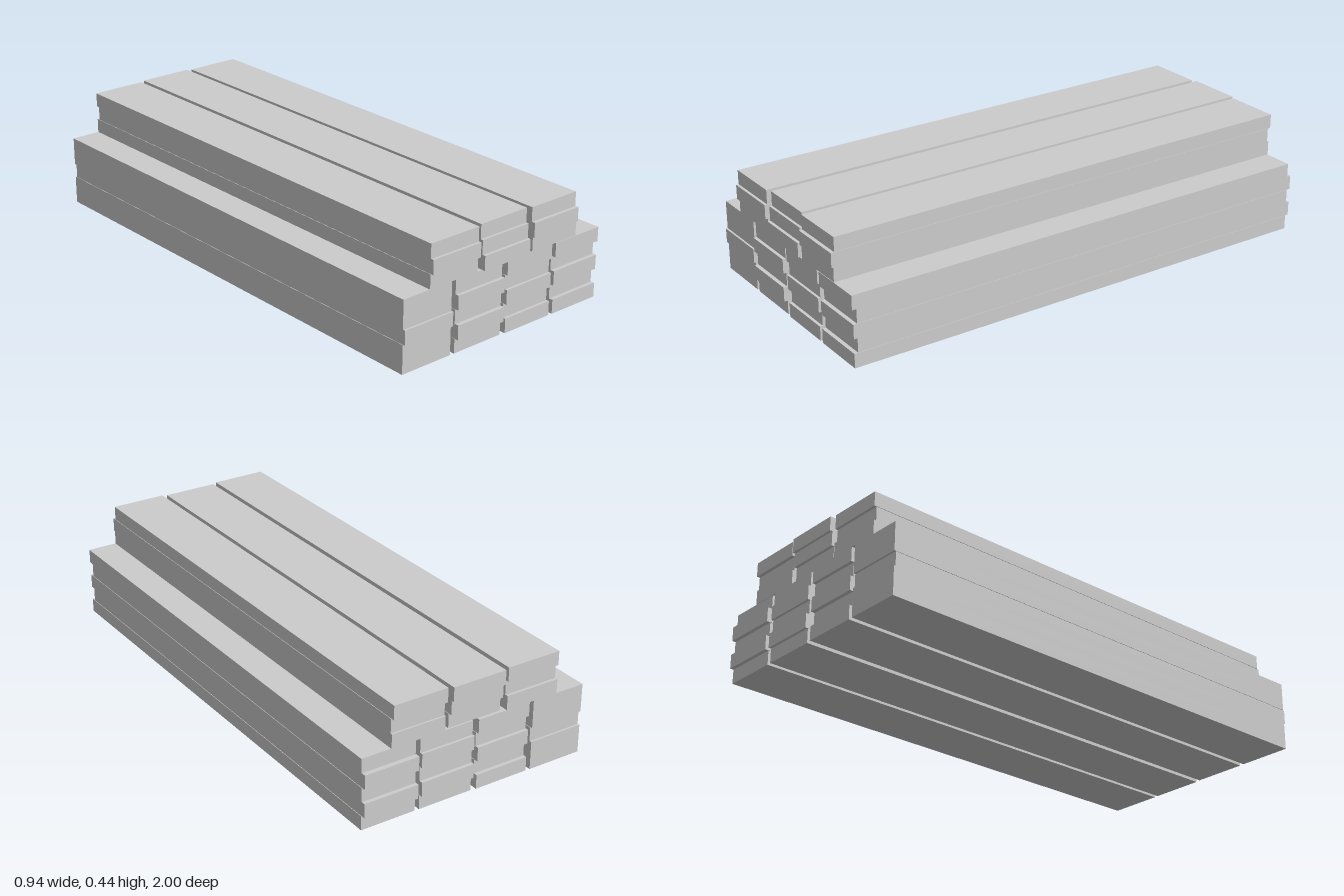
import * as THREE from 'three';

const BOARD = { width: 0.222, height: 0.0556, length: 1.975 };

// Each stack: centre x, first layer, and the lengthwise slip of each board from bottom to top
const STACKS = [
  { name: 'lowerStackRight', x: -0.361, layer: 0, slips: [-0.003, -0.003, 0.005, -0.003, -0.003] },
  { name: 'lowerStackMidRight', x: -0.121, layer: 0, slips: [-0.002, 0.0125, -0.003, 0.01, -0.003] },
  { name: 'lowerStackMidLeft', x: 0.12, layer: 0, slips: [0.002, -0.01, 0.004, -0.006, 0.004] },
  { name: 'lowerStackLeft', x: 0.359, layer: 0, slips: [0.003, -0.0125, 0.003, -0.0125, 0.006] },
  { name: 'upperStackRight', x: -0.241, layer: 5, slips: [-0.003, 0.008, -0.003] },
  { name: 'upperStackMiddle', x: 0, layer: 5, slips: [0.01, -0.002, -0.0125] },
  { name: 'upperStackLeft', x: 0.239, layer: 5, slips: [0.004, 0.011, -0.003] },
];

export function createModel() {
  const model = new THREE.Group();
  model.name = 'lumberPile';
  const material = new THREE.MeshStandardMaterial({ color: 0xcccccc, flatShading: true });
  const geometry = new THREE.BoxGeometry(BOARD.width, BOARD.height, BOARD.length);

  for (const { name, x, layer, slips } of STACKS) {
    const stack = new THREE.Group();
    stack.name = name;
    stack.position.set(x, layer * BOARD.height, 0);
    slips.forEach((slip, i) => {
      const board = new THREE.Mesh(geometry, material);
      board.name = `board${i + 1}`;
      // boards are also very slightly out of line sideways
      board.position.set(slip > 0 ? 0.001 : -0.001, (i + 0.5) * BOARD.height, slip);
      stack.add(board);
    });
    model.add(stack);
  }
  return model;
}
